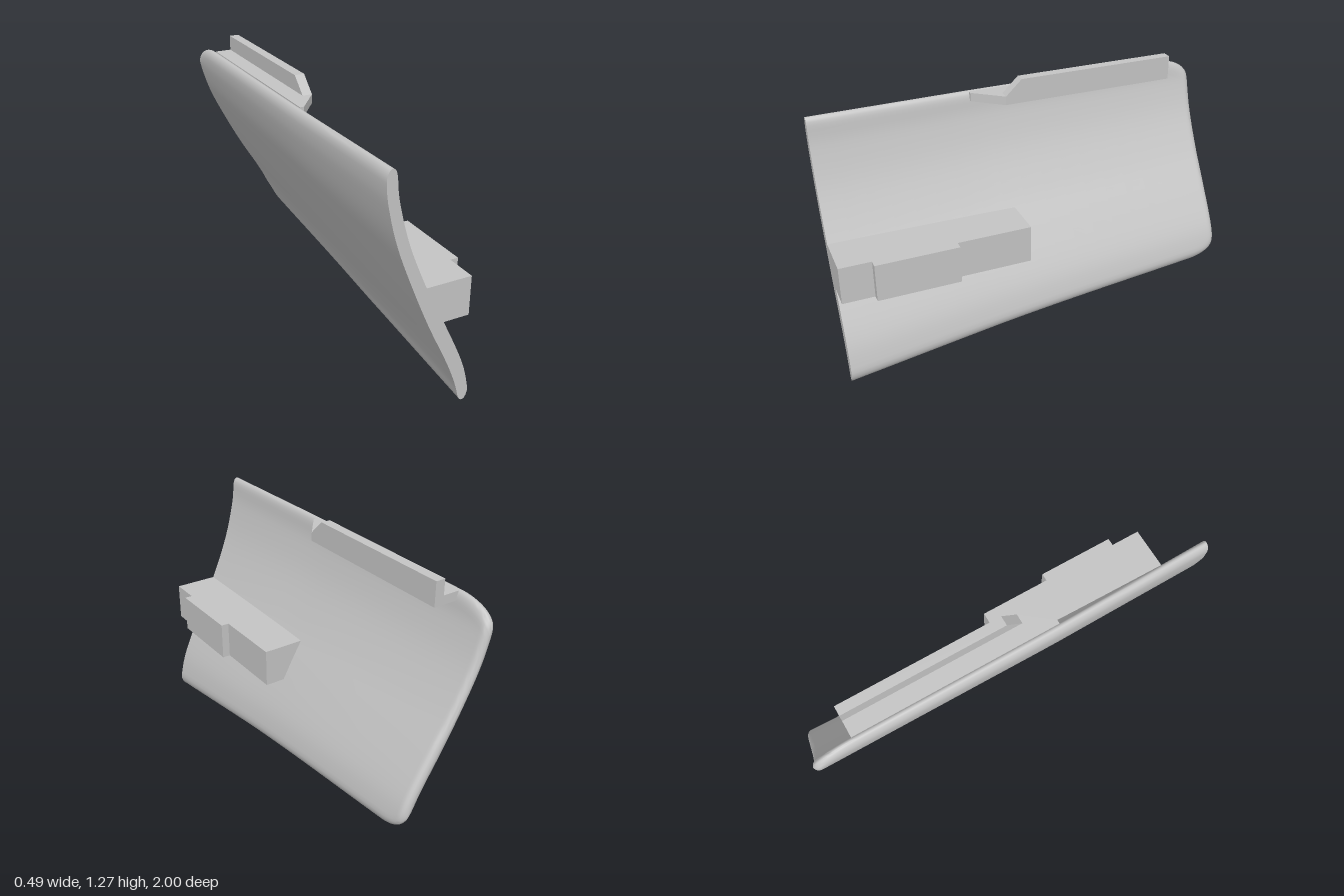
import * as THREE from 'three';
import { toCreasedNormals } from 'three/addons/utils/BufferGeometryUtils.js';

// Panel centre line [height, x] and half thickness [height, width] at the front end
const CENTRE = [[-0.05, 0.206], [0, 0.2], [0.06, 0.196], [0.2, 0.151], [0.44, 0.037], [0.635, -0.055],
  [0.865, -0.147], [1.06, -0.198], [1.15, -0.208], [1.2, -0.207]];
const HALF = [[-0.05, 0.027], [0.06, 0.029], [0.2, 0.036], [0.44, 0.038], [0.635, 0.031], [1.06, 0.026], [1.2, 0.024]];
const LOWER = [[-1, 0.232], [-0.8, 0.212], [0, 0.13], [1, 0]];

// Smooth interpolation through a table of [position, value]
function smooth(table, t) {
  const last = table.length - 1;
  let i = 0;
  while (i < last - 1 && t > table[i + 1][0]) i++;
  const slope = (n) => {
    const a = table[Math.max(n - 1, 0)], b = table[Math.min(n + 1, last)];
    return (b[1] - a[1]) / (b[0] - a[0]);
  };
  const [x0, y0] = table[i], [x1, y1] = table[i + 1];
  const h = x1 - x0, s = Math.min(Math.max((t - x0) / h, 0), 1), s2 = s * s, s3 = s2 * s;
  return y0 * (2 * s3 - 3 * s2 + 1) + y1 * (3 * s2 - 2 * s3)
    + h * (slope(i) * (s3 - 2 * s2 + s) + slope(i + 1) * (s3 - s2));
}

// Quarter-circle profile: 0 at the edge, 1 at distance r and beyond
const round = (d, r) => Math.sqrt(Math.max(0, 1 - Math.max(0, 1 - d / r) ** 2));

// Curved panel lofted from closed sections, front to back, with rounded back corners
function panelGeometry() {
  const N = 36, LOOP = 2 * N, stations = [];
  for (let j = 0; j <= 16; j++) stations.push(1 - j * 0.11);
  for (let j = 1; j <= 16; j++) stations.push(-0.76 - 0.24 * Math.sin((j / 16) * Math.PI / 2));
  const pos = [], index = [];
  for (const z of stations) {
    const base = smooth(LOWER, z), k = (1.2 - base) / 1.2, back = z + 1;
    const low = base + 0.09 * (1 - round(back, 0.14));
    const high = 1.2 - 0.11 * (1 - round(back, 0.2));
    const shift = -0.015 * Math.min(1, (1 - z) / 0.8);
    const edge = Math.max(0.1, round(back, 0.03));
    for (let n = 0; n < LOOP; n++) {
      const right = n <= N, i = right ? n : LOOP - n;
      const y = low + (high - low) * (1 - Math.cos((i / N) * Math.PI)) / 2;
      const s = 1.2 - (1.2 - y) / k;
      const w = smooth(HALF, s) * edge * round(y - low, 0.06) * round(high - y, 0.05);
      pos.push(smooth(CENTRE, s) + shift + (right ? w : -w), y, z);
    }
  }
  for (let j = 0; j < stations.length - 1; j++) {
    for (let n = 0; n < LOOP; n++) {
      const a = j * LOOP + n, b = j * LOOP + (n + 1) % LOOP, c = a + LOOP, d = b + LOOP;
      index.push(a, c, b, b, c, d);
    }
  }
  // Flat front end and narrow back end
  const end = (stations.length - 1) * LOOP;
  for (let i = 0; i < N; i++) {
    const r0 = i, r1 = i + 1, l0 = (LOOP - i) % LOOP, l1 = LOOP - i - 1;
    index.push(r0, r1, l1, r0, l1, l0);
    index.push(end + r0, end + l1, end + r1, end + r0, end + l0, end + l1);
  }
  const g = new THREE.BufferGeometry();
  g.setAttribute('position', new THREE.Float32BufferAttribute(pos, 3));
  g.setIndex(index);
  return toCreasedNormals(g, 0.8);
}

function extrude(points, depth) {
  const shape = new THREE.Shape(points.map(([x, y]) => new THREE.Vector2(x, y)));
  return new THREE.ExtrudeGeometry(shape, { depth, bevelEnabled: false });
}

export function createModel() {
  const model = new THREE.Group();
  model.name = 'doorPanel';
  const grey = new THREE.MeshStandardMaterial({ color: 0xc4c4c4 });
  grey.name = 'light grey';
  const add = (name, geometry) => {
    const mesh = new THREE.Mesh(geometry, grey);
    mesh.name = name;
    model.add(mesh);
  };

  add('curvedPanel', panelGeometry());

  // Armrest, its inner side buried in the panel, with a raised outer pad
  add('armrest', extrude([[0.045, 0.445], [0.2, 0.445], [0.2, 0.635], [-0.045, 0.635]], 0.93).translate(0, 0, 0.07));
  add('armrestPad', new THREE.BoxGeometry(0.06, 0.19, 0.405).translate(0.21, 0.54, 0.6425));

  // Ledge along the top edge, tapering into the panel towards the front
  add('topLedge', extrude([[-0.21, -0.8], [-0.08, -0.8], [-0.08, 0.08], [-0.19, 0.22], [-0.21, 0.22]], 0.043)
    .rotateX(Math.PI / 2).translate(0, 1.199, 0));

  // Upright rail on the ledge with a sloped front end
  add('topRail', extrude([[-0.8, 1.156], [0.08, 1.156], [0.08, 1.199], [0, 1.275], [-0.8, 1.275]], 0.048)
    .rotateY(-Math.PI / 2).translate(-0.08, 0, 0));

  return model;
}
